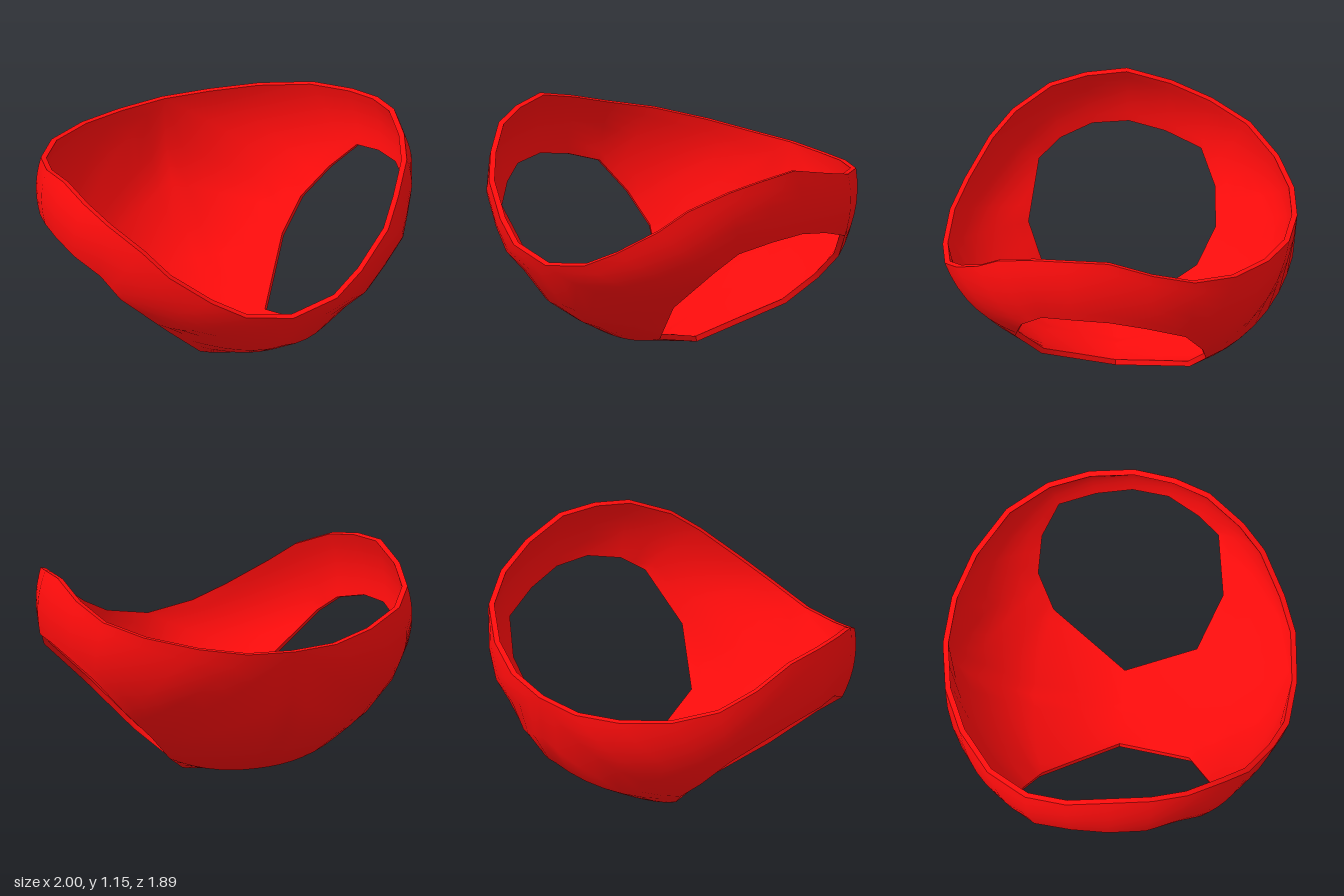
import * as THREE from 'three';
import { toCreasedNormals } from 'three/addons/utils/BufferGeometryUtils.js';

const CENTRE = new THREE.Vector3(0, 0.95, 0); // the shell follows a bowl around this point
const THICKNESS = 0.03;
const RINGS = 7;

// Leg opening on the +x side: from the crotch, up the front, over the hip, down the back
const LEG = [
  [0.215, 0.02, 0.01], [0.32, 0.15, 0.4], [0.55, 0.41, 0.53], [0.81, 0.655, 0.485],
  [0.88, 0.75, 0.37], [0.965, 0.795, 0.2], [0.99, 0.80, 0], [0.97, 0.755, -0.2],
  [0.92, 0.68, -0.4], [0.79, 0.515, -0.485], [0.63, 0.355, -0.495], [0.48, 0.2, -0.4],
].map((p) => new THREE.Vector3(...p));

// Outer border of the +x half; the fourth number is the facing position along LEG
const FRONT_SEAM = [
  [0, 0.005, 0.01, 0], [0, 0.045, 0.2, 0.5], [0, 0.09, 0.4, 1], [0, 0.21, 0.61, 1.4], [0, 0.37, 0.82, 1.75],
];
const WAIST = [
  [0, 0.62, 0.945, 2], [0.26, 0.67, 0.92, 2.25], [0.43, 0.76, 0.85, 2.6], [0.63, 0.90, 0.73, 3],
  [0.735, 1.01, 0.61, 3.5], [0.86, 1.10, 0.42, 4], [0.92, 1.135, 0.23, 5], [0.95, 1.15, 0.01, 6],
  [0.95, 1.08, -0.23, 7], [0.895, 1.01, -0.45, 8], [0.75, 0.96, -0.66, 8.5],
  [0.51, 0.91, -0.825, 9], [0.26, 0.875, -0.92, 9.4], [0, 0.87, -0.95, 9.7],
];
const BACK_SEAM = [
  [0, 0.60, -0.925, 10], [0, 0.40, -0.835, 10.35], [0, 0.225, -0.635, 10.7], [0, 0.11, -0.475, 11],
  [0, 0.055, -0.2, 11.5],
];

function legPoint(t) {
  const i = Math.floor(t);
  return LEG[i].clone().lerp(LEG[(i + 1) % LEG.length], t - i);
}

// Points from the border to the leg opening, curved around the bowl
function spoke([x, y, z, t]) {
  const a = new THREE.Vector3(x, y, z).sub(CENTRE);
  const b = legPoint(t).sub(CENTRE);
  // Spokes on the centre seam leave it level, so the two halves meet smoothly
  const bulge = x === 0 ? 0 : 0.03 * a.distanceTo(b);
  return Array.from({ length: RINGS + 1 }, (_, j) => {
    const s = j / RINGS;
    const ease = x === 0 ? s * s * (3 - 2 * s) : s;
    const radius = THREE.MathUtils.lerp(a.length(), b.length(), ease) + bulge * Math.sin(Math.PI * s);
    return a.clone().lerp(b, s).setLength(radius).add(CENTRE);
  });
}

function inward(p) {
  const d = p.clone().sub(CENTRE);
  return d.setLength(d.length() - THICKNESS).add(CENTRE);
}

function shellGeometry() {
  const outer = [...FRONT_SEAM, ...WAIST, ...BACK_SEAM].map(spoke);
  const inner = outer.map((row) => row.map(inward));
  const positions = [];
  const triangle = (a, b, c) => {
    for (const p of [a, b, c]) positions.push(p.x, p.y, p.z);
    for (const p of [a, c, b]) positions.push(-p.x, p.y, p.z); // mirrored half
  };
  const quad = (a, b, c, d) => {
    triangle(a, b, c);
    triangle(a, c, d);
  };
  const waistStart = FRONT_SEAM.length;
  const waistEnd = waistStart + WAIST.length - 1;
  outer.forEach((row, i) => {
    const k = (i + 1) % outer.length;
    const next = outer[k];
    // Outside and lining
    for (let j = 0; j < RINGS; j++) {
      quad(row[j], row[j + 1], next[j + 1], next[j]);
      quad(inner[i][j], inner[k][j], inner[k][j + 1], inner[i][j + 1]);
    }
    // Edge of the leg opening, then edge of the waist
    quad(row[RINGS], inner[i][RINGS], inner[k][RINGS], next[RINGS]);
    if (i >= waistStart && i < waistEnd) quad(row[0], next[0], inner[k][0], inner[i][0]);
  });
  const geometry = new THREE.BufferGeometry();
  geometry.setAttribute('position', new THREE.Float32BufferAttribute(positions, 3));
  return toCreasedNormals(geometry, 0.85);
}

export function createModel() {
  const group = new THREE.Group();
  group.name = 'briefs';
  const shell = new THREE.Mesh(shellGeometry(), new THREE.MeshStandardMaterial({ color: 0xff0c0c }));
  shell.name = 'briefsShell';
  group.add(shell);
  return group;
}
